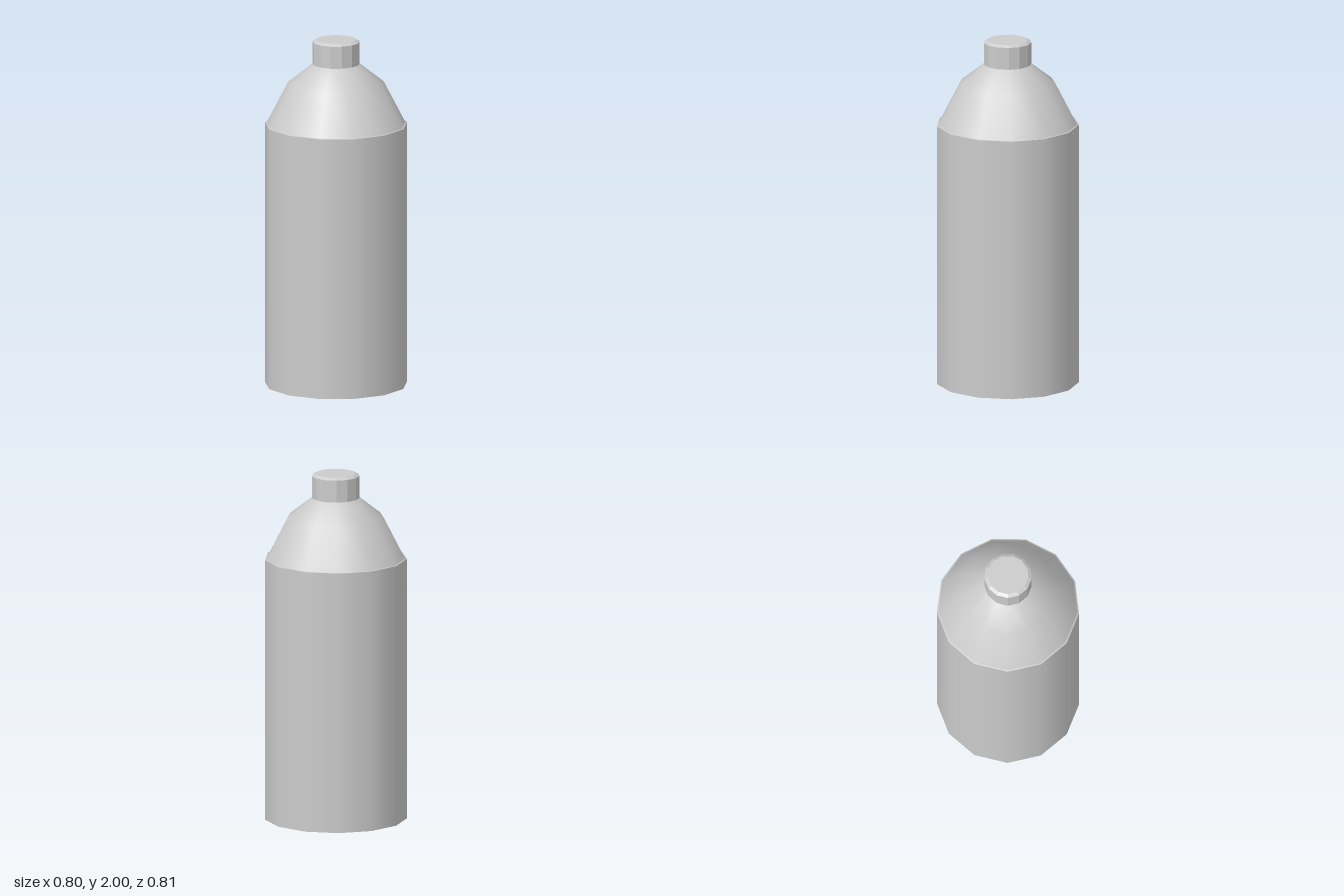
import * as THREE from 'three';

const SIDES = 13;

// Revolve [radius, height] pairs (bottom to top) with one corner facing +x
function revolve(name, profile, flatShading = false) {
  const points = profile.map(([r, y]) => new THREE.Vector2(r, y));
  const geometry = new THREE.LatheGeometry(points, SIDES, Math.PI / 2);
  const mesh = new THREE.Mesh(geometry, new THREE.MeshStandardMaterial({ color: 0xcccccc, flatShading }));
  mesh.name = name;
  return mesh;
}

export function createModel() {
  const bottle = new THREE.Group();
  bottle.name = 'bottle';

  // Body: flat base and smooth wall, split so the bottom edge stays sharp
  bottle.add(revolve('base', [[0, 0], [0.406, 0]], true));
  bottle.add(revolve('body', [[0.406, 0], [0.406, 1.51]]));

  // Shoulder: narrow rim, then two slopes up to the neck
  bottle.add(revolve('shoulder', [[0.406, 1.51], [0.394, 1.513], [0.272, 1.75], [0.133, 1.86]]));

  // Cap: faceted wall with a small bevel around the flat top
  bottle.add(revolve('cap', [[0.12, 1.86], [0.135, 1.86], [0.135, 1.988], [0.116, 2], [0, 2]], true));

  // An odd number of sides is off centre, so shift it to centre the outline
  bottle.children.forEach((part) => { part.position.x = -0.006; });
  return bottle;
}
